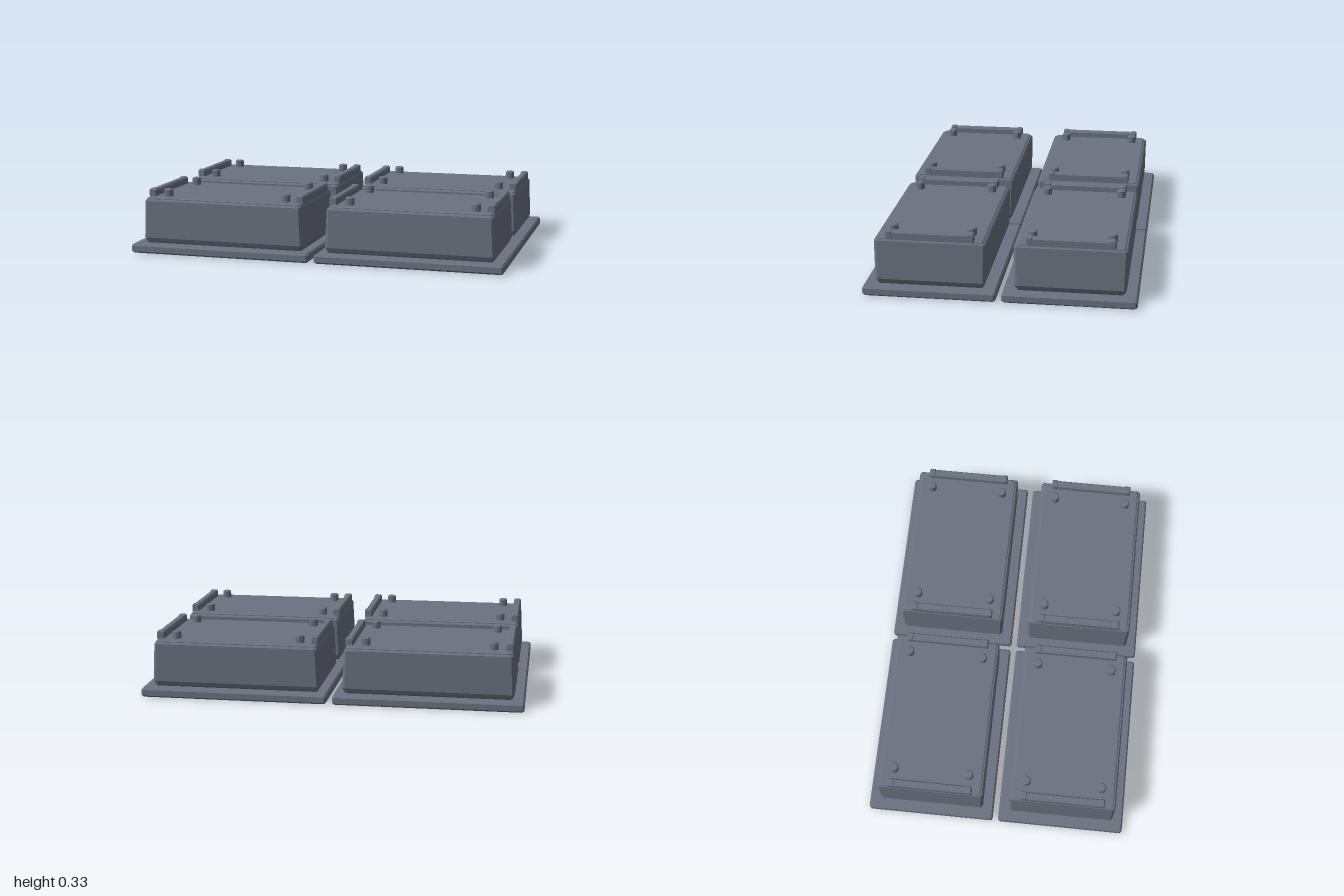
import * as THREE from 'three';

const mat = new THREE.MeshStandardMaterial({ color: 0x6b7280 });
mat.name = 'slateGrey';

// Chamfered-corner rectangular loft; each level is [y, halfX, halfZ, corner]
function loft(levels) {
  const rings = levels.map(([y, a, b, c]) => [
    [a, b - c], [a - c, b], [c - a, b], [-a, b - c],
    [-a, c - b], [c - a, -b], [a - c, -b], [a, c - b],
  ].map(([x, z]) => [x, y, z]));
  const pos = [];
  const tri = (p, q, r) => pos.push(...p, ...q, ...r);
  for (let i = 0; i < rings.length - 1; i++) {
    const lo = rings[i], hi = rings[i + 1];
    for (let j = 0; j < 8; j++) {
      const k = (j + 1) % 8;
      tri(lo[j], hi[j], hi[k]);
      tri(lo[j], hi[k], lo[k]);
    }
  }
  const bottom = rings[0], top = rings[rings.length - 1];
  for (let j = 1; j < 7; j++) {
    tri(bottom[0], bottom[j], bottom[j + 1]);
    tri(top[0], top[j + 1], top[j]);
  }
  const g = new THREE.BufferGeometry();
  g.setAttribute('position', new THREE.Float32BufferAttribute(pos, 3));
  g.computeVertexNormals();
  return g;
}

function add(parent, name, geometry, x = 0, y = 0, z = 0) {
  const m = new THREE.Mesh(geometry, mat);
  m.name = name;
  m.position.set(x, y, z);
  parent.add(m);
}

export function createModel() {
  const model = new THREE.Group();
  model.name = 'panelBlocks';

  const plate = loft([
    [0, 0.484, 0.33, 0.008], [0.008, 0.492, 0.338, 0.01],
    [0.038, 0.492, 0.338, 0.01], [0.047, 0.484, 0.33, 0.008],
  ]);
  // Body widens at the foot and steps in to a raised lid
  const body = loft([
    [0.044, 0.43, 0.266, 0.01], [0.055, 0.436, 0.272, 0.012], [0.075, 0.445, 0.281, 0.014],
    [0.275, 0.434, 0.284, 0.012], [0.284, 0.428, 0.277, 0.01],
  ]);
  const lid = loft([
    [0.28, 0.427, 0.272, 0.01], [0.288, 0.427, 0.272, 0.01], [0.293, 0.42, 0.265, 0.01],
  ]);
  const rail = loft([
    [0.285, 0.02, 0.222, 0.005], [0.32, 0.02, 0.222, 0.005], [0.329, 0.013, 0.216, 0.004],
  ]);
  const railEnd = loft([
    [0.29, 0.021, 0.018, 0.006], [0.326, 0.021, 0.018, 0.006], [0.333, 0.014, 0.012, 0.004],
  ]);
  const peg = new THREE.LatheGeometry([
    [0, 0.285], [0.024, 0.285], [0.024, 0.328], [0.019, 0.333], [0, 0.333],
  ].map(([r, y]) => new THREE.Vector2(r, y)), 10).toNonIndexed();
  peg.computeVertexNormals();

  for (const sx of [-1, 1]) for (const sz of [-1, 1]) {
    const block = new THREE.Group();
    block.name = (sz > 0 ? 'front' : 'back') + (sx > 0 ? 'Left' : 'Right') + 'Block';
    block.position.set(sx * 0.508, 0, sz * 0.353);
    add(block, 'basePlate', plate);
    add(block, 'body', body, -sx * 0.004);
    add(block, 'lid', lid, -sx * 0.004);
    for (const px of [-1, 1]) {
      add(block, 'rail', rail, px * 0.413 - sx * 0.004);
      for (const pz of [-1, 1]) {
        add(block, 'railEnd', railEnd, px * 0.413 - sx * 0.004, 0, pz * 0.206);
        add(block, 'peg', peg, px * 0.33 - sx * 0.004, 0, pz * 0.2);
      }
    }
    model.add(block);
  }
  return model;
}
